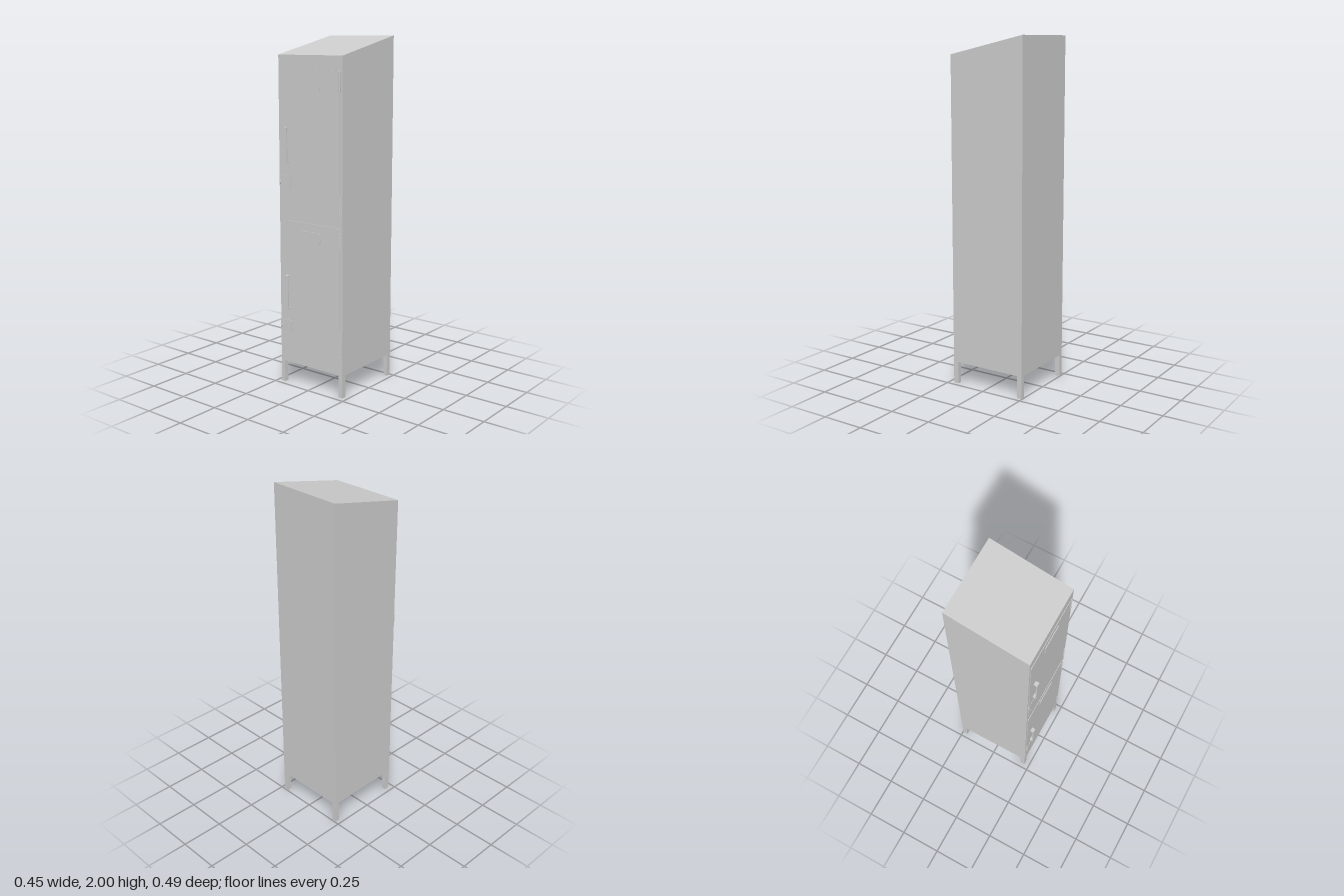
import * as THREE from 'three';

const material = new THREE.MeshStandardMaterial({ color: 0xcccccc, flatShading: true });
const smooth = new THREE.MeshStandardMaterial({ color: 0xcccccc });
const HALF_W = 0.224, FRONT = 0.22, BACK = -0.247, BASE = 0.13;

function add(parent, name, geometry, x = 0, y = 0, z = 0, mat = material) {
  const mesh = new THREE.Mesh(geometry, mat);
  mesh.name = name;
  mesh.position.set(x, y, z);
  parent.add(mesh);
  return mesh;
}

// Thin rectangular sheet with rounded corners, lying in the xy plane
function sheet(w, h, r, depth) {
  const x = w / 2, y = h / 2;
  const s = new THREE.Shape();
  s.moveTo(-x + r, -y).lineTo(x - r, -y).absarc(x - r, -y + r, r, -Math.PI / 2, 0);
  s.lineTo(x, y - r).absarc(x - r, y - r, r, 0, Math.PI / 2);
  s.lineTo(-x + r, y).absarc(-x + r, y - r, r, Math.PI / 2, Math.PI);
  s.lineTo(-x, -y + r).absarc(-x + r, -y + r, r, Math.PI, Math.PI * 1.5);
  return new THREE.ExtrudeGeometry(s, { depth, bevelEnabled: false, curveSegments: 6 });
}

// Extrude a side profile of [z, y] points across x, centred
function sideExtrude(points, width) {
  const shape = new THREE.Shape(points.map(([z, y]) => new THREE.Vector2(-z, y)));
  const g = new THREE.ExtrudeGeometry(shape, { depth: width, bevelEnabled: false });
  return g.translate(0, 0, -width / 2).rotateY(Math.PI / 2);
}

// Hinge made of stacked knuckles on a pin
function createHinge(height) {
  const hinge = new THREE.Group();
  hinge.name = 'hinge';
  const count = 5, step = height / count;
  for (let i = 0; i < count; i++) {
    add(hinge, 'hingeKnuckle', new THREE.CylinderGeometry(0.0045, 0.0045, step * 0.9, 10),
      0, (i - (count - 1) / 2) * step, 0, smooth);
  }
  add(hinge, 'hingePin', new THREE.CylinderGeometry(0.003, 0.003, height, 8), 0, 0, 0, smooth);
  return hinge;
}

// One door with its fittings; y = 0 is the door's lower edge
function createDoor() {
  const door = new THREE.Group();
  door.name = 'door';
  const height = 0.782;
  add(door, 'doorPanel', sheet(0.416, height, 0.012, 0.004), -0.005, height / 2, FRONT - 0.001);
  add(door, 'cardHolder', sheet(0.142, 0.062, 0.003, 0.005), 0.001, 0.704, FRONT + 0.002);

  // Bracket-shaped pull handle
  const z0 = FRONT + 0.002, z1 = 0.245, t = 0.007, h = 0.1;
  add(door, 'handle', sideExtrude([
    [z0, -h], [z1, -h], [z1, h], [z0, h],
    [z0, h - t], [z1 - t, h - t], [z1 - t, -h + t], [z0, -h + t],
  ], 0.025), -0.162, 0.362, 0);

  // Lock plate with a padlock staple
  add(door, 'lockPlate', sheet(0.08, 0.068, 0.01, 0.003), -0.182, 0.159, FRONT + 0.002);
  const staple = add(door, 'lockStaple', new THREE.TorusGeometry(0.01, 0.0025, 8, 20),
    -0.211, 0.152, FRONT + 0.002, smooth);
  staple.rotation.y = Math.PI / 2;

  for (const y of [0.062, height - 0.06]) {
    const hinge = createHinge(0.112);
    hinge.position.set(0.205, y, FRONT + 0.003);
    door.add(hinge);
  }
  return door;
}

export function createModel() {
  const locker = new THREE.Group();
  locker.name = 'locker';

  // Cabinet with a sloping top
  add(locker, 'cabinet', sideExtrude(
    [[FRONT, BASE], [FRONT, 1.897], [BACK, 2], [BACK, BASE]].reverse(), HALF_W * 2));

  // Two stacked doors
  for (const y of [0.192, 1.038]) {
    const door = createDoor();
    door.position.y = y;
    locker.add(door);
  }

  // Four square legs
  const legW = 0.025, legD = 0.03;
  for (const side of [-1, 1]) {
    for (const z of [FRONT - legD / 2, BACK + legD / 2]) {
      add(locker, 'leg', new THREE.BoxGeometry(legW, BASE, legD),
        side * (HALF_W - legW / 2), BASE / 2, z);
    }
  }
  return locker;
}
